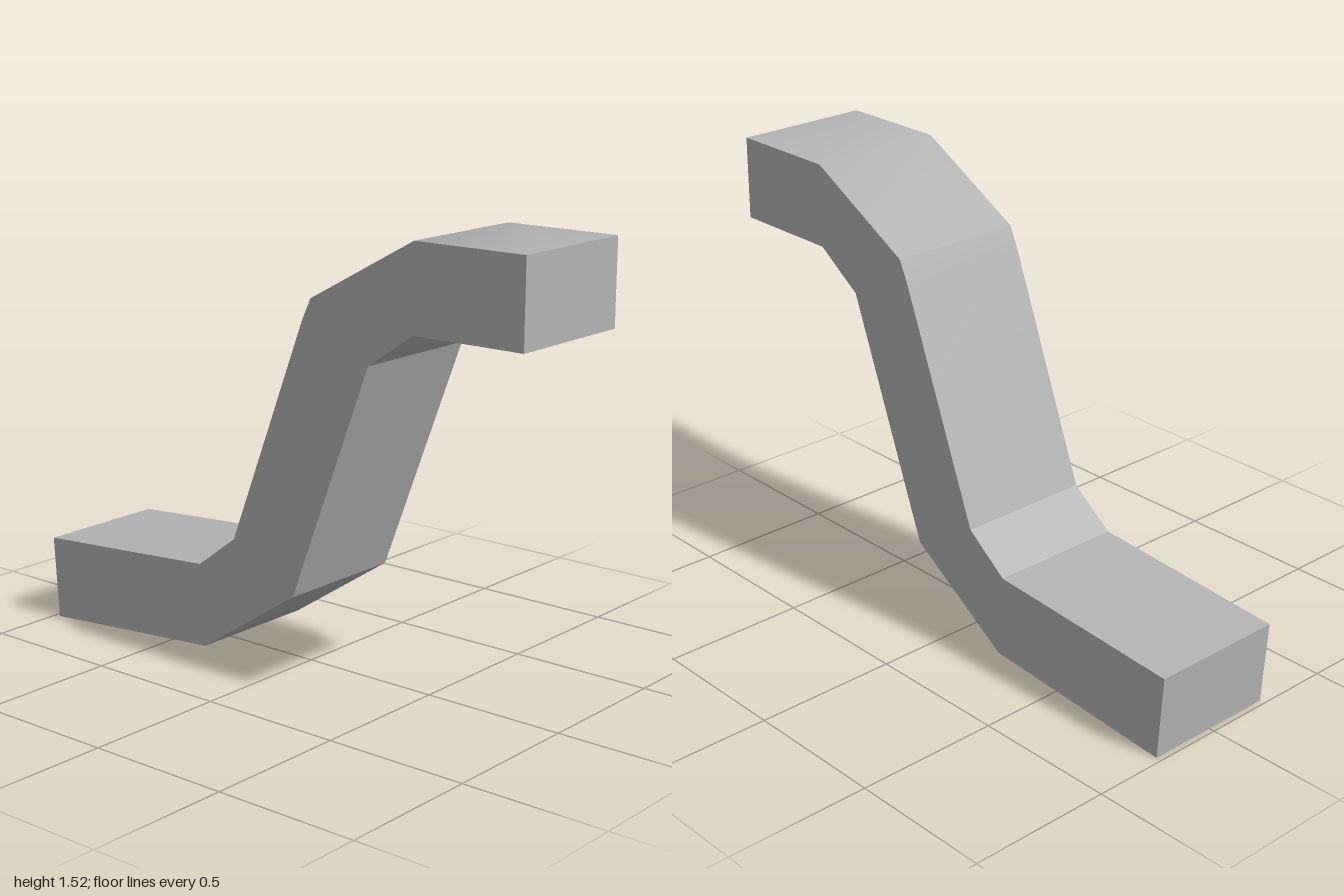
import * as THREE from 'three';
import { toCreasedNormals } from 'three/addons/utils/BufferGeometryUtils.js';

const DEPTH = 0.48;

// Side outline of the bent bar, counter-clockwise from the low end
const OUTLINE = [
  [-0.98, 0], [-0.265, 0.055], [0.125, 0.312], [0.43, 1.118], [0.6, 1.235], // underside
  [1, 1.235], [1, 1.52],                                                    // upper end
  [0.6, 1.52], [0.2, 1.3], [0.165, 1.225], [-0.13, 0.457], [-0.285, 0.34],  // upper side
  [-1, 0.29],                                                               // lower end
];

export function createModel() {
  const model = new THREE.Group();
  model.name = 'bentBarModel';

  const grey = new THREE.MeshStandardMaterial({ color: 0xb3b3b3 });
  grey.name = 'grey';

  // Stepped bar: gentle bends are smooth, sharper ones creased
  const shape = new THREE.Shape(OUTLINE.map(([x, y]) => new THREE.Vector2(x, y)));
  const geometry = new THREE.ExtrudeGeometry(shape, { depth: DEPTH, bevelEnabled: false });
  geometry.translate(0, 0, -DEPTH / 2);

  const bar = new THREE.Mesh(toCreasedNormals(geometry, THREE.MathUtils.degToRad(31)), grey);
  bar.name = 'steppedBar';
  model.add(bar);
  return model;
}
